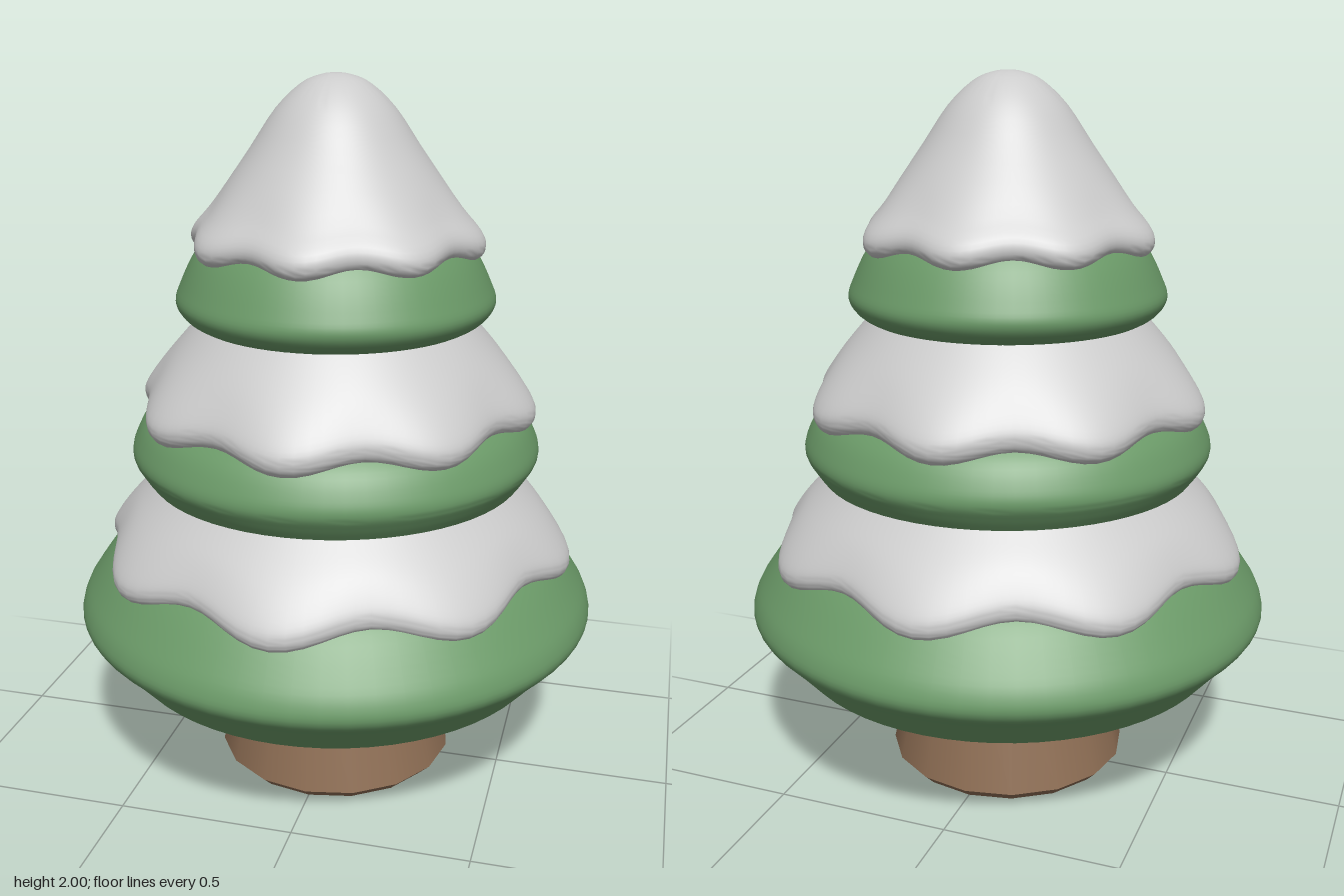
import * as THREE from 'three';
import { toCreasedNormals } from 'three/addons/utils/BufferGeometryUtils.js';

const LOBES = 8;

const material = (color) => new THREE.MeshStandardMaterial({ color });
const points = (list) => list.map(([r, y]) => new THREE.Vector2(r, y));
const smooth = (list, n) => new THREE.SplineCurve(points(list)).getPoints(n)
  .map((p) => new THREE.Vector2(Math.max(p.x, 0), p.y));

function turned(name, profile, mat, segments, crease = 0.7, deform) {
  let geometry = new THREE.LatheGeometry(profile, segments);
  if (deform) {
    const pos = geometry.attributes.position;
    const v = new THREE.Vector3();
    for (let i = 0; i < pos.count; i++) {
      deform(v.fromBufferAttribute(pos, i));
      pos.setXYZ(i, v.x, v.y, v.z);
    }
  }
  geometry = toCreasedNormals(geometry, crease);
  const mesh = new THREE.Mesh(geometry, mat);
  mesh.name = name;
  return mesh;
}

// Pulls the hem of a snow layer into drooping lobes that fade out up the slope
function scallop(hemY, hemR, outward, droop) {
  return (v) => {
    const r = Math.hypot(v.x, v.z);
    if (r < 1e-4) return;
    const wave = Math.cos(LOBES * Math.atan2(v.x, v.z));
    const rim = THREE.MathUtils.smoothstep(r, hemR * 0.6, hemR * 0.95);
    const fade = 1 - THREE.MathUtils.smoothstep(v.y, hemY + 0.04, hemY + 0.24);
    const k = 1 + (outward * wave * rim * fade) / r;
    v.x *= k;
    v.z *= k;
    v.y -= droop * wave * rim * fade;
  };
}

export function createModel() {
  const tree = new THREE.Group();
  tree.name = 'snowyTree';
  const green = material(0x6b9a68);
  const brown = material(0x8f6f55);
  const white = material(0xcccccc);

  // Tapered trunk with a bevelled foot, running up inside the branches
  tree.add(turned('trunk',
    points([[0, 0], [0.315, 0], [0.345, 0.03], [0.275, 0.36], [0.2, 0.72], [0, 0.72]]), brown, 16, 0.6));

  // Branch rings: outer bulge, then the inner wall back down to the rim
  const branches = [
    {
      outer: [[0.62, 0.355], [0.685, 0.43], [0.738, 0.49], [0.735, 0.54], [0.7, 0.6], [0.635, 0.685], [0.56, 0.75]],
      inner: [[0.59, 0.66], [0.67, 0.5], [0.61, 0.355], [0.62, 0.355]],
    },
    {
      outer: [[0.53, 0.9], [0.555, 0.935], [0.575, 0.975], [0.565, 1.02], [0.53, 1.08], [0.46, 1.14]],
      inner: [[0.44, 1.08], [0.44, 0.9], [0.53, 0.9]],
    },
    {
      outer: [[0.37, 1.335], [0.415, 1.36], [0.44, 1.4], [0.425, 1.45], [0.385, 1.53], [0.33, 1.6]],
      inner: [[0.31, 1.55], [0.31, 1.33], [0.37, 1.335]],
    },
  ];
  branches.forEach(({ outer, inner }, i) => {
    tree.add(turned(`branchRing${i + 1}`, [...smooth(outer, 24), ...points(inner)], green, 64));
  });

  // Snow layers: flat underside, rolled hem, slope; the last one closes at the tip
  const snow = [
    {
      base: 0.635, hem: 0.67, radius: 0.655, outward: 0.024, droop: 0.022,
      slope: [[0.6, 0.65], [0.64, 0.667], [0.656, 0.695], [0.645, 0.735], [0.59, 0.81], [0.5, 0.9], [0.42, 0.98]],
    },
    {
      base: 1.05, hem: 1.085, radius: 0.542, outward: 0.02, droop: 0.014,
      slope: [[0.49, 1.065], [0.526, 1.082], [0.543, 1.11], [0.535, 1.15], [0.48, 1.23], [0.395, 1.33], [0.32, 1.41]],
    },
    {
      base: 1.515, hem: 1.54, radius: 0.395, outward: 0.015, droop: 0.01,
      slope: [[0.34, 1.525], [0.38, 1.54], [0.395, 1.565], [0.385, 1.6], [0.335, 1.66], [0.235, 1.8],
        [0.16, 1.91], [0.09, 1.975], [0.035, 1.997], [0, 2]],
    },
  ];
  snow.forEach(({ base, hem, radius, outward, droop, slope }, i) => {
    const profile = [new THREE.Vector2(0, base), ...smooth(slope, 30)];
    const top = slope[slope.length - 1];
    if (top[0] > 0) profile.push(new THREE.Vector2(0, top[1]));
    tree.add(turned(`snowLayer${i + 1}`, profile, white, 96, 0.9, scallop(hem, radius, outward, droop)));
  });

  return tree;
}
